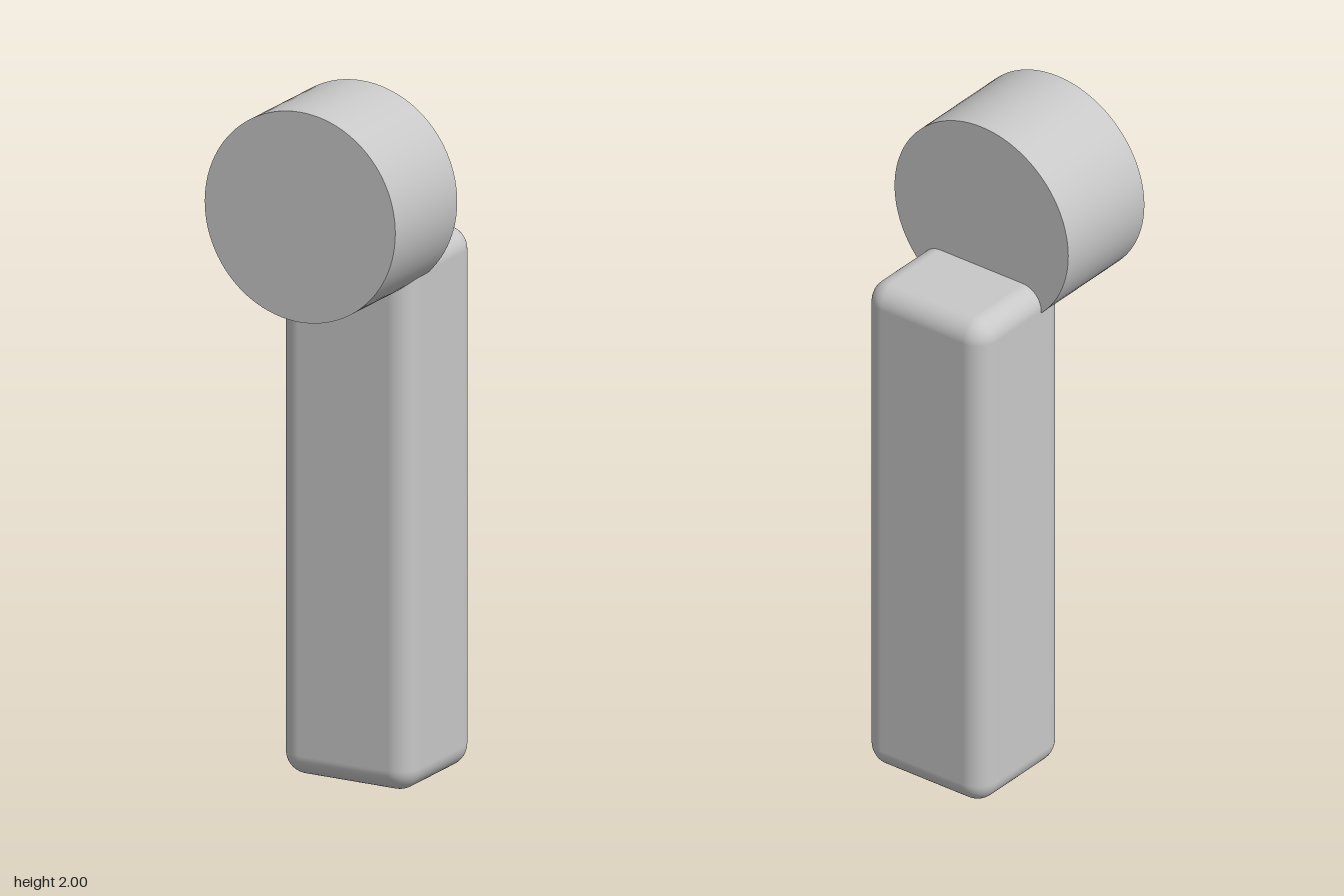
import * as THREE from 'three';
import { RoundedBoxGeometry } from 'three/addons/geometries/RoundedBoxGeometry.js';

export function createModel() {
  const model = new THREE.Group();
  const grey = new THREE.MeshStandardMaterial({ color: 0xc8c8c8 });
  grey.name = 'light grey';

  // Upright handle with softly rounded edges
  const handle = new THREE.Mesh(new RoundedBoxGeometry(0.416, 1.55, 0.37, 8, 0.065), grey);
  handle.name = 'handle';
  handle.position.set(0, 0.775, -0.119);
  model.add(handle);

  // Round head, lying along z and overlapping the top of the handle
  const headGeometry = new THREE.CylinderGeometry(0.302, 0.302, 0.34, 96);
  headGeometry.rotateX(Math.PI / 2);
  const head = new THREE.Mesh(headGeometry, grey);
  head.name = 'head';
  head.position.set(0, 1.698, 0.132);
  model.add(head);

  return model;
}
